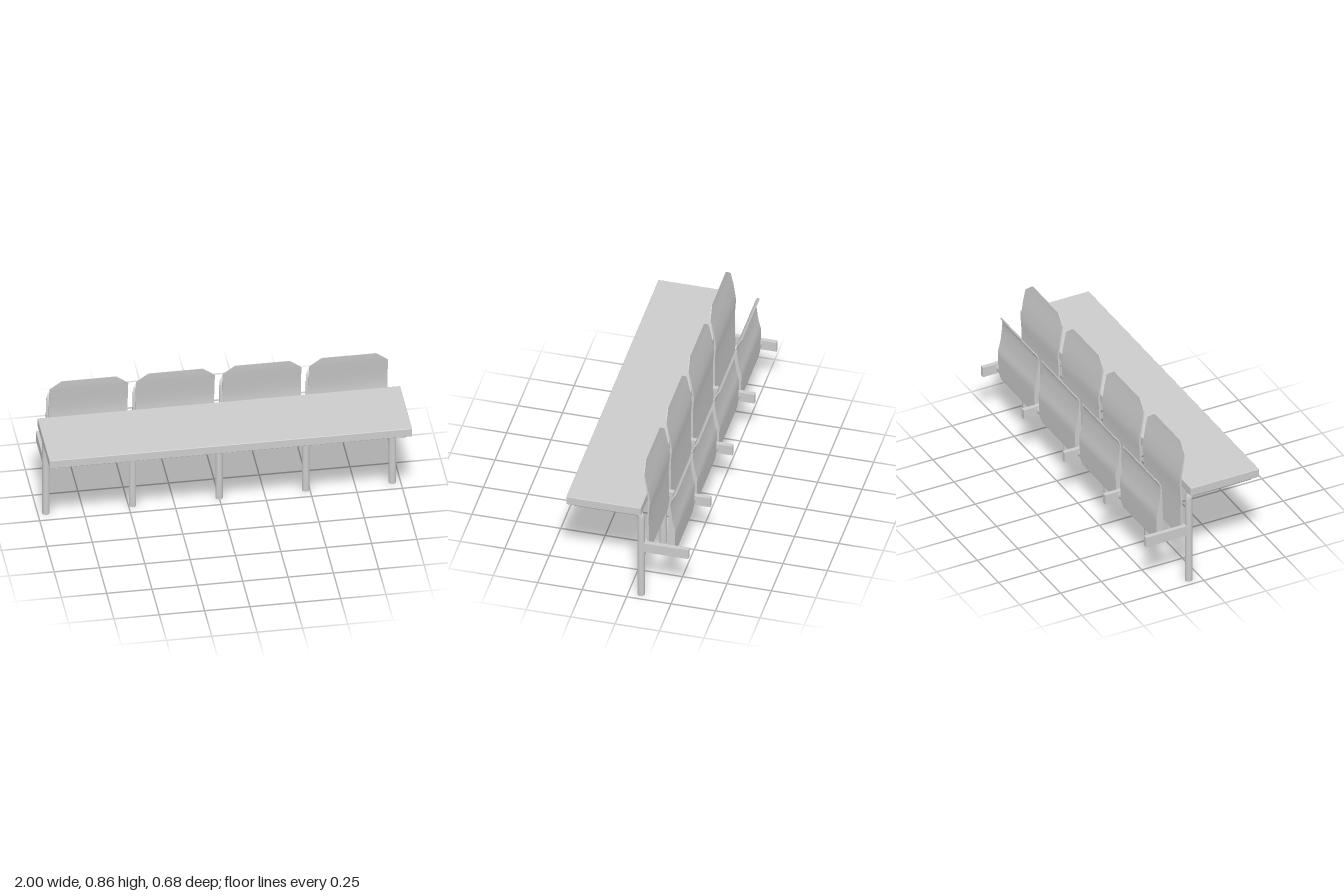
import * as THREE from 'three';
import { RoundedBoxGeometry } from 'three/addons/geometries/RoundedBoxGeometry.js';

const material = new THREE.MeshStandardMaterial({ color: 0xcccccc });

function add(parent, name, geometry, x = 0, y = 0, z = 0) {
  const mesh = new THREE.Mesh(geometry, material);
  mesh.name = name;
  mesh.position.set(x, y, z);
  parent.add(mesh);
  return mesh;
}

// Curved solid panel; each row is [front y, front z, back y, back z, half width]
function panel(rows) {
  const n = rows.length - 1;
  const g = new THREE.BoxGeometry(1, 1, 1, 1, n, 1);
  const p = g.attributes.position;
  for (let i = 0; i < p.count; i++) {
    const [yf, zf, yb, zb, w] = rows[Math.round((p.getY(i) + 0.5) * n)];
    const front = p.getZ(i) > 0;
    p.setXYZ(i, Math.sign(p.getX(i)) * w, front ? yf : yb, front ? zf : zb);
  }
  g.computeVertexNormals();
  return g;
}

const backRows = [
  [0.28, -0.099, 0.28, -0.111, 0.19],
  [0.31, -0.099, 0.31, -0.111, 0.217],
  [0.40, -0.098, 0.40, -0.108, 0.217],
  [0.51, -0.098, 0.51, -0.107, 0.217],
  [0.57, -0.101, 0.57, -0.110, 0.217],
  [0.62, -0.104, 0.62, -0.114, 0.217],
  [0.67, -0.100, 0.67, -0.108, 0.217],
  [0.73, -0.091, 0.73, -0.099, 0.217],
  [0.80, -0.078, 0.80, -0.084, 0.217],
  [0.83, -0.0745, 0.83, -0.079, 0.182],
  [0.855, -0.072, 0.855, -0.075, 0.15],
];

// Folded-up seat with a curled upper lip
const seatRows = [
  [0.285, -0.207, 0.283, -0.25, 0.185],
  [0.315, -0.209, 0.315, -0.252, 0.213],
  [0.36, -0.211, 0.36, -0.253, 0.213],
  [0.42, -0.213, 0.42, -0.255, 0.213],
  [0.455, -0.215, 0.455, -0.255, 0.213],
  [0.49, -0.217, 0.49, -0.246, 0.213],
  [0.53, -0.218, 0.53, -0.238, 0.213],
  [0.58, -0.22, 0.58, -0.232, 0.213],
  [0.622, -0.222, 0.625, -0.228, 0.213],
  [0.648, -0.227, 0.645, -0.232, 0.211],
  [0.667, -0.236, 0.662, -0.240, 0.205],
  [0.679, -0.247, 0.674, -0.250, 0.193],
  [0.683, -0.255, 0.679, -0.256, 0.18],
];

export function createModel() {
  const model = new THREE.Group();
  model.name = 'benchWithDesk';

  // Long desk top
  add(model, 'deskTop', new RoundedBoxGeometry(2, 0.052, 0.42, 2, 0.004), 0, 0.596, 0.13);

  // Bent tube path: upright, elbow, arm beneath the desk
  const v = (y, z) => new THREE.Vector3(0, y, z);
  const path = new THREE.CurvePath();
  path.add(new THREE.LineCurve3(v(0, -0.07), v(0.52, -0.07)));
  path.add(new THREE.QuadraticBezierCurve3(v(0.52, -0.07), v(0.56, -0.07), v(0.56, -0.03)));
  path.add(new THREE.LineCurve3(v(0.56, -0.03), v(0.56, 0.304)));
  const tube = new THREE.TubeGeometry(path, 80, 0.0205, 16);
  const cap = new THREE.CircleGeometry(0.0205, 16);
  const spacing = 0.4775;

  for (let i = -2; i <= 2; i++) {
    const frame = new THREE.Group();
    frame.name = 'legFrame';
    frame.position.x = i * spacing;
    model.add(frame);
    add(frame, 'legTube', tube);
    add(frame, 'footCap', cap, 0, 0, -0.07).rotation.x = Math.PI / 2;
    add(frame, 'tubeEndCap', cap, 0, 0.56, 0.304);
    add(frame, 'seatArm', new THREE.BoxGeometry(0.025, 0.06, 0.258), 0, 0.33, -0.21);

    // Fixings on each side that has a neighbouring seat
    for (const s of [-1, 1]) {
      if (Math.abs(i + s) > 2) continue;
      add(frame, 'backBracket', new THREE.BoxGeometry(0.05, 0.06, 0.009), s * 0.03, 0.33, -0.096);
      const pivot = add(frame, 'seatPivot', new THREE.CylinderGeometry(0.02, 0.03, 0.028, 16), s * 0.022, 0.332, -0.231);
      pivot.rotation.z = -s * Math.PI / 2;
    }
  }

  // Four backrests and folded seats
  const backGeometry = panel(backRows);
  const seatGeometry = panel(seatRows);
  for (let i = 0; i < 4; i++) {
    const x = (i - 1.5) * spacing;
    add(model, 'backrest', backGeometry, x);
    add(model, 'foldedSeat', seatGeometry, x);
  }
  return model;
}
